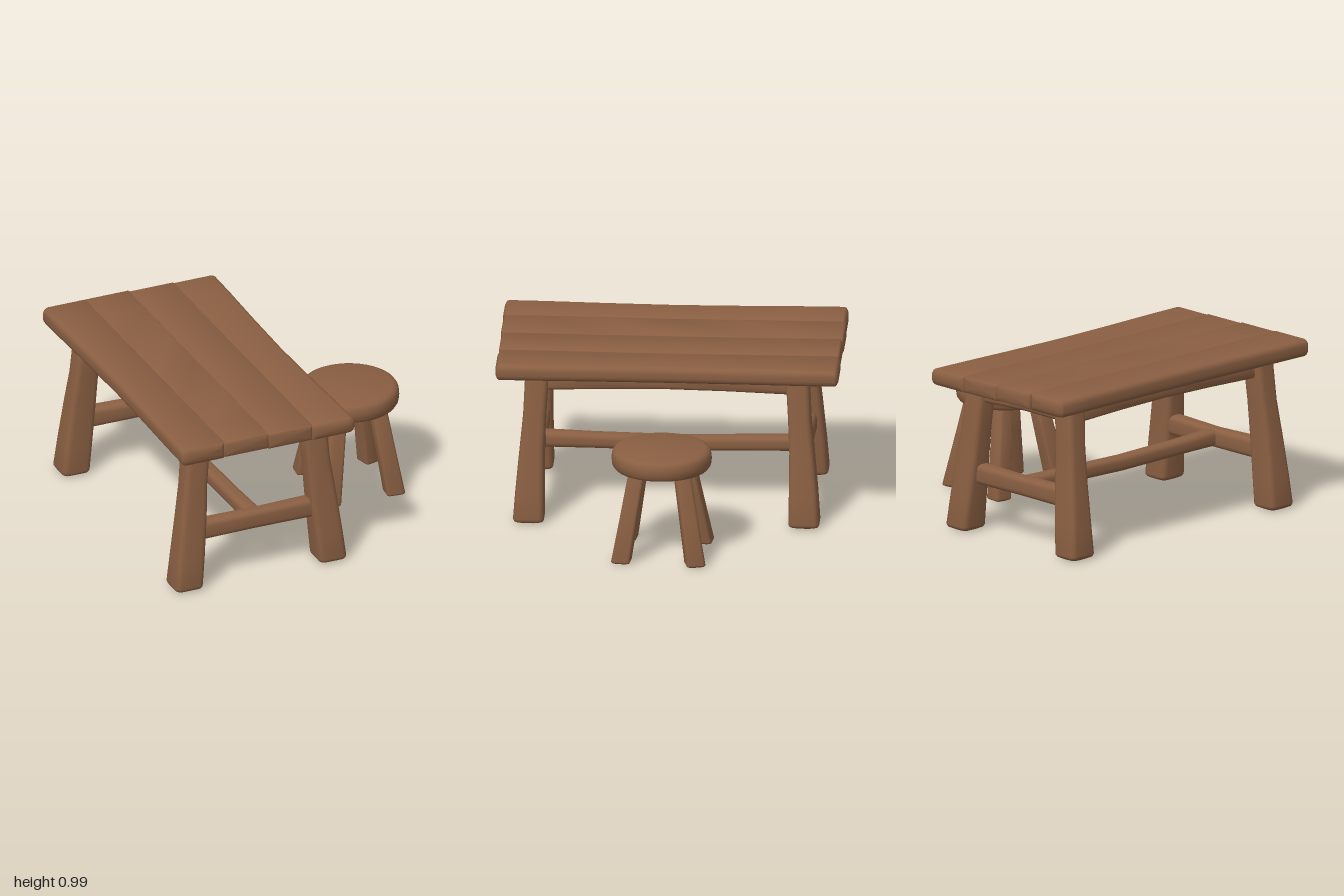
import * as THREE from 'three';
import { toCreasedNormals } from 'three/addons/utils/BufferGeometryUtils.js';

const wood = new THREE.MeshStandardMaterial({ color: 0x8a5f42 });
wood.name = 'brown wood';

// Rounded rectangle outline; rL / rR are the corner radii on the -u and +u sides
function outline(hu, hv, rL, rR) {
  const pts = [];
  const corners = [[1, 1, rR], [-1, 1, rL], [-1, -1, rL], [1, -1, rR]];
  corners.forEach(([su, sv, r], k) => {
    r = Math.min(r, hu * 0.95, hv * 0.95);
    for (let i = 0; i <= 4; i++) {
      const a = (k + i / 4) * Math.PI / 2;
      pts.push([su * (hu - r) + r * Math.cos(a), sv * (hv - r) + r * Math.sin(a)]);
    }
  });
  return pts;
}

// Local (u, v, t) to world, with t running along the named axis
const toWorld = {
  x: (u, v, t) => [t, u, v],
  y: (u, v, t) => [v, t, u],
  z: (u, v, t) => [u, v, t],
};

// Hewn timber lofted through sections [t, u, v, halfU, halfV], with rounded ends
function timber(name, axis, sections, { r = 0.03, rL = r, rR = r, bevel = 0.02, twist = 0 } = {}) {
  const first = sections[0], last = sections[sections.length - 1];
  const rounded = (s, dir) => [0, 0.4, 0.75, 1].map((f) => {
    const inset = bevel * (1 - Math.sqrt(1 - (1 - f) ** 2));
    return [s[0] + dir * bevel * f, s[1], s[2], s[3] - inset, s[4] - inset];
  });
  const rings = [...rounded(first, 1), ...sections.slice(1, -1), ...rounded(last, -1).reverse()];
  const pos = [], idx = [], n = 20, c = Math.cos(twist), s = Math.sin(twist);
  for (const [t, u, v, hu, hv] of rings) {
    for (const [a, b] of outline(hu, hv, rL, rR)) {
      pos.push(...toWorld[axis](u + a * c - b * s, v + a * s + b * c, t));
    }
  }
  for (let i = 0; i < rings.length - 1; i++) {
    for (let j = 0; j < n; j++) {
      const a = i * n + j, b = i * n + (j + 1) % n;
      idx.push(a, b, b + n, a, b + n, a + n);
    }
  }
  const end = (rings.length - 1) * n, mid = rings.length * n;
  pos.push(...toWorld[axis](first[1], first[2], first[0]), ...toWorld[axis](last[1], last[2], last[0]));
  for (let j = 0; j < n; j++) {
    const k = (j + 1) % n;
    idx.push(mid, k, j, mid + 1, end + j, end + k);
  }
  const geo = new THREE.BufferGeometry();
  geo.setAttribute('position', new THREE.Float32BufferAttribute(pos, 3));
  geo.setIndex(idx);
  const mesh = new THREE.Mesh(toCreasedNormals(geo, 0.75), wood);
  mesh.name = name;
  return mesh;
}

function createTable() {
  const table = new THREE.Group();
  table.name = 'table';
  const cx = -0.345;

  // Four planks: left edge, right edge, underside, top, back end, front end
  const planks = [
    [-0.9, -0.63, 0.893, 0.998, -0.997, 0.995],
    [-0.63, -0.35, 0.898, 0.992, -1.0, 0.99],
    [-0.35, -0.07, 0.89, 0.988, -0.993, 0.985],
    [-0.07, 0.2, 0.886, 0.984, -0.998, 0.99],
  ];
  planks.forEach(([x0, x1, y0, y1, z0, z1], i) => {
    const waistL = i === 0 ? 0.018 : 0, waistR = i === 3 ? 0.018 : 0;
    const secs = [0, 0.12, 0.3, 0.5, 0.7, 0.88, 1].map((f) => {
      const w = Math.sin(Math.PI * f) ** 2;
      const a = x0 + waistL * w - 0.001, b = x1 - waistR * w + 0.001;
      return [z0 + (z1 - z0) * f, (a + b) / 2, (y0 + y1) / 2 - 0.003 * w, (b - a) / 2, (y1 - y0) / 2];
    });
    table.add(timber('tabletopPlank', 'z', secs, {
      rL: i === 0 ? 0.035 : 0.006, rR: i === 3 ? 0.035 : 0.006, bevel: i % 3 ? 0.016 : 0.026,
    }));
  });

  // Splayed legs
  for (const sx of [-1, 1]) for (const sz of [-1, 1]) {
    table.add(timber('tableLeg', 'y', [
      [0.005, sz * 0.798, cx + sx * 0.455, 0.09, 0.086],
      [0.2, sz * 0.793, cx + sx * 0.437, 0.083, 0.085],
      [0.45, sz * 0.782, cx + sx * 0.41, 0.071, 0.081],
      [0.65, sz * 0.768, cx + sx * 0.39, 0.066, 0.073],
      [0.93, sz * 0.755, cx + sx * 0.368, 0.068, 0.073],
    ], { r: 0.032, bevel: 0.03 }));
  }

  // End stretchers and end aprons
  for (const sz of [-1, 1]) {
    table.add(timber('endStretcher', 'x', [
      [-0.77, 0.35, sz * 0.775, 0.06, 0.05],
      [-0.35, 0.346, sz * 0.77, 0.056, 0.046],
      [0.08, 0.352, sz * 0.775, 0.06, 0.05],
    ]));
    table.add(timber('endApron', 'x', [
      [-0.73, 0.845, sz * 0.755, 0.05, 0.04],
      [-0.35, 0.845, sz * 0.745, 0.052, 0.04],
      [0.03, 0.835, sz * 0.755, 0.057, 0.04],
    ], { r: 0.025 }));
  }

  // Long centre stretcher, sagging slightly
  table.add(timber('centreStretcher', 'z', [
    [-0.8, cx, 0.352, 0.05, 0.045],
    [-0.45, cx, 0.345, 0.046, 0.044],
    [0, cx, 0.335, 0.045, 0.044],
    [0.45, cx, 0.343, 0.046, 0.044],
    [0.8, cx, 0.35, 0.05, 0.048],
  ]));

  // Long aprons under the tabletop
  for (const sx of [-1, 1]) {
    table.add(timber('sideApron', 'z', [
      [-0.75, cx + sx * 0.37, 0.84, 0.04, 0.055],
      [-0.35, cx + sx * 0.362, 0.845, 0.04, 0.05],
      [0, cx + sx * 0.36, 0.85, 0.04, 0.05],
      [0.35, cx + sx * 0.362, 0.845, 0.04, 0.05],
      [0.75, cx + sx * 0.37, 0.84, 0.04, 0.055],
    ], { r: 0.025 }));
  }
  return table;
}

function createStool() {
  const stool = new THREE.Group();
  stool.name = 'stool';

  // Thick round seat with soft rims
  const profile = [
    [0, 0.53], [0.255, 0.53], [0.275, 0.537], [0.287, 0.555], [0.291, 0.59],
    [0.287, 0.622], [0.276, 0.639], [0.255, 0.647], [0, 0.647],
  ].map(([r, y]) => new THREE.Vector2(r, y));
  const seat = new THREE.Mesh(toCreasedNormals(new THREE.LatheGeometry(profile, 40), 0.75), wood);
  seat.name = 'stoolSeat';
  seat.position.x = 0.603;
  stool.add(seat);

  // Splayed legs: foot x, foot z, top x, top z, twist
  const legs = [
    [0.388, 0.208, 0.475, 0.125, -0.1],
    [0.42, -0.232, 0.49, -0.135, -0.12],
    [0.787, 0.222, 0.72, 0.135, -0.1],
    [0.822, -0.205, 0.735, -0.125, 0.25],
  ];
  for (const [fx, fz, tx, tz, twist] of legs) {
    stool.add(timber('stoolLeg', 'y', [
      [0.005, fz, fx, 0.055, 0.055],
      [0.28, (fz + tz) / 2, (fx + tx) / 2, 0.05, 0.051],
      [0.56, tz, tx, 0.046, 0.047],
    ], { r: 0.018, bevel: 0.016, twist }));
  }
  return stool;
}

export function createModel() {
  const model = new THREE.Group();
  model.name = 'tableAndStool';
  model.add(createTable(), createStool());
  return model;
}
